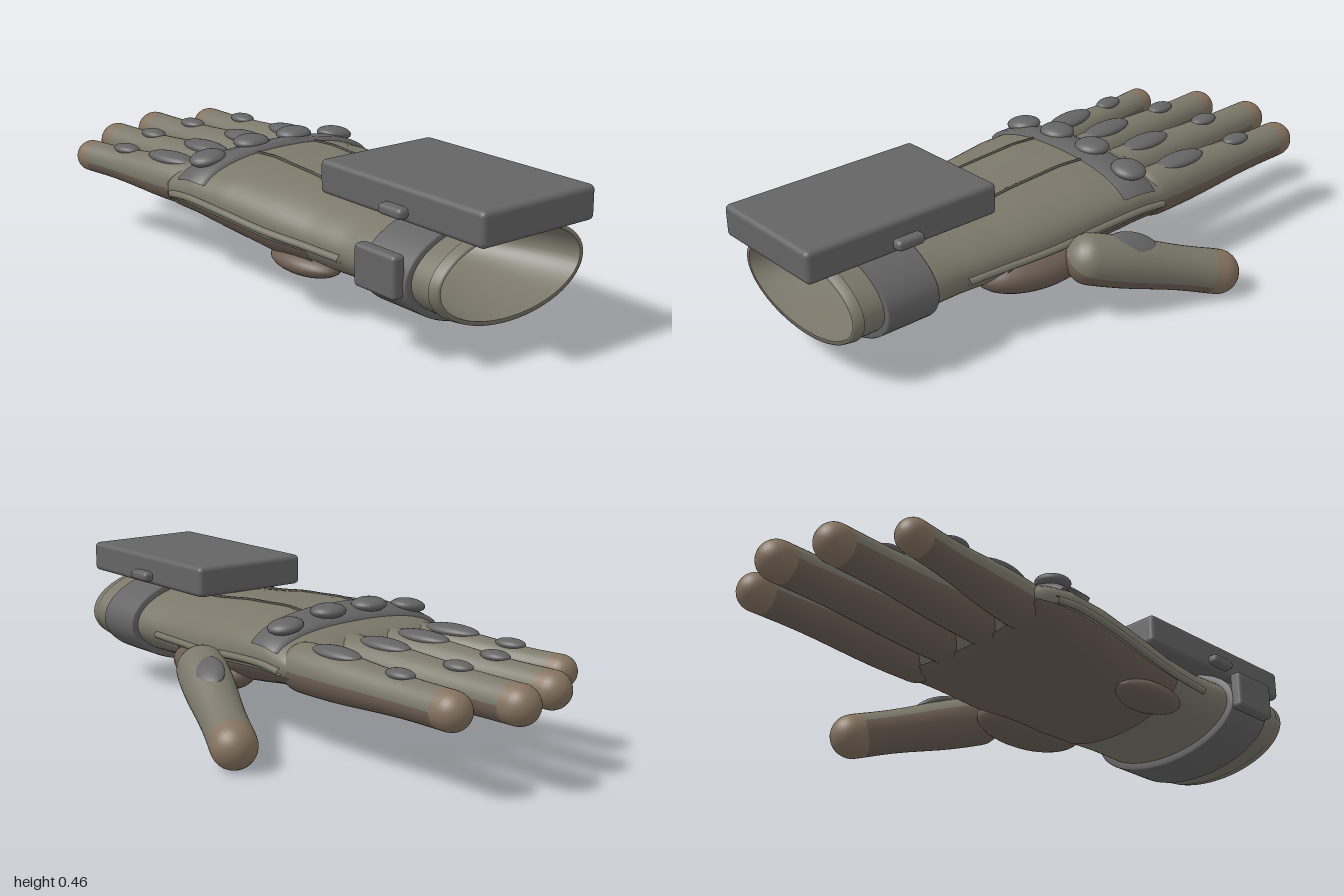
import * as THREE from 'three';
import { RoundedBoxGeometry } from 'three/addons/geometries/RoundedBoxGeometry.js';

const mat = (color) => new THREE.MeshStandardMaterial({ color, side: THREE.DoubleSide });
const V = (x, y, z) => new THREE.Vector3(x, y, z);

// Hand cross-sections: z, centre x, centre y, half width, half height, roundness exponent
const SECTIONS = [
  [0.9, -0.117, 0.234, 0.273, 0.134, 2],
  [0.7, -0.117, 0.232, 0.27, 0.13, 2],
  [0.5, -0.115, 0.232, 0.267, 0.122, 2],
  [0.35, -0.115, 0.236, 0.28, 0.128, 2],
  [0.2, -0.117, 0.243, 0.3, 0.136, 2.1],
  [0, -0.12, 0.262, 0.32, 0.126, 2.2],
  [-0.15, -0.12, 0.27, 0.33, 0.108, 2.3],
  [-0.24, -0.12, 0.262, 0.33, 0.088, 2.4],
  [-0.29, -0.12, 0.258, 0.318, 0.072, 2.4],
  [-0.325, -0.12, 0.258, 0.28, 0.03, 2.2],
];

function sectionAt(z) {
  let i = 0;
  while (i < SECTIONS.length - 2 && z < SECTIONS[i + 1][0]) i++;
  const a = SECTIONS[i], b = SECTIONS[i + 1];
  const t = (z - a[0]) / (b[0] - a[0]);
  return a.map((v, k) => v + (b[k] - v) * t);
}

// Point on a section at an angle, pushed out by grow
function rim([z, cx, cy, rx, ry, n = 2], a, grow = 0) {
  const c = Math.cos(a), s = Math.sin(a);
  return V(cx + (rx + grow) * Math.sign(c) * Math.abs(c) ** (2 / n),
    cy + (ry + grow) * Math.sign(s) * Math.abs(s) ** (2 / n), z);
}

// Skin over sections running towards -z, over the whole ring or an arc of it
function loft(sections, a0 = 0, a1 = Math.PI * 2, grow = 0, seg = 64) {
  const closed = a1 - a0 > 6.28, cols = closed ? seg : seg + 1;
  const pos = [], idx = [];
  sections.forEach((s) => {
    for (let j = 0; j < cols; j++) pos.push(...rim(s, a0 + (a1 - a0) * j / seg, grow).toArray());
  });
  for (let i = 0; i < sections.length - 1; i++) {
    for (let j = 0; j < seg; j++) {
      const k = (j + 1) % cols, p = i * cols, q = p + cols;
      idx.push(p + j, q + j, p + k, p + k, q + j, q + k);
    }
  }
  const g = new THREE.BufferGeometry();
  g.setAttribute('position', new THREE.Float32BufferAttribute(pos, 3));
  g.setIndex(idx);
  g.computeVertexNormals();
  return g;
}

const range = (z0, z1, n) => Array.from({ length: n + 1 }, (_, i) => sectionAt(z0 + (z1 - z0) * i / n));

export function createModel() {
  const root = new THREE.Group();
  const fabric = mat(0x7b786a), palmMat = mat(0x6d5f54), tipMat = mat(0x84725f);
  const hard = mat(0x646464), seamMat = mat(0x55534a), shade = mat(0x55534c);

  function add(name, geo, material, parent = root) {
    const m = new THREE.Mesh(geo, material);
    m.name = name;
    parent.add(m);
    return m;
  }
  function pad(name, p, r, parent = root) {
    const m = add(name, new THREE.SphereGeometry(1, 24, 14), hard, parent);
    m.position.copy(p);
    m.scale.set(...r);
    return m;
  }
  function box(name, p, s, r, parent = root) {
    const m = add(name, new RoundedBoxGeometry(...s, 3, r), hard, parent);
    m.position.set(...p);
    return m;
  }

  // Hand body and open cuff
  add('handBody', loft(range(0.9, -0.325, 49)), fabric);
  const [, cx, cy, rx, ry] = SECTIONS[0];
  const ring = (z, x, y) => [z, cx, cy, x, y];
  add('cuffRim', loft([ring(0.87, rx + 0.004, ry + 0.004), ring(0.9, rx, ry), ring(0.9, rx - 0.012, ry - 0.012)]), fabric);
  const inner = [[0.9, 0.261, 0.122], [0.78, 0.235, 0.113], [0.6, 0.153, 0.075], [0.56, 0.083, 0.04], [0.555, 0.001, 0.001]]
    .map((s) => ring(...s));
  add('cuffLining', loft(inner.slice(0, 3)), fabric);
  add('liningStep', loft(inner.slice(2, 4)), shade);
  add('liningEnd', loft(inner.slice(3)), fabric);

  // Palm panel and heel pads
  add('palmPanel', loft(range(0.36, -0.3, 24), Math.PI * 1.06, Math.PI * 1.94, 0.006), palmMat);
  const thumbHeel = add('thumbHeel', new THREE.SphereGeometry(1, 24, 16), palmMat);
  thumbHeel.position.set(0.12, 0.17, 0.22);
  thumbHeel.scale.set(0.105, 0.07, 0.2);
  thumbHeel.rotation.y = -0.12;
  const outerHeel = add('outerHeel', new THREE.SphereGeometry(1, 24, 16), palmMat);
  outerHeel.position.set(-0.33, 0.15, 0.28);
  outerHeel.scale.set(0.075, 0.038, 0.14);

  // Tapered finger with a gripping underside and a round tip
  function finger(name, base, tip, r0, r1) {
    const g = new THREE.Group();
    g.name = name;
    const dir = tip.clone().sub(base), L = dir.length() - r1;
    g.position.copy(base);
    g.quaternion.setFromUnitVectors(V(0, 1, 0), dir.normalize());
    const shaft = [];
    for (let i = 0; i <= 6; i++) {
      const a = i / 6 * Math.PI / 2;
      shaft.push(new THREE.Vector2(r0 * Math.sin(a), -r0 * 0.9 * Math.cos(a)));
    }
    for (let i = 1; i <= 8; i++) {
      const t = i / 8;
      shaft.push(new THREE.Vector2(r0 + (r1 - r0) * t + 0.003 * Math.sin(t * Math.PI * 2), (L - 0.03) * t));
    }
    const cap = [new THREE.Vector2(r1, L - 0.03)];
    for (let i = 0; i <= 8; i++) {
      const a = i / 8 * Math.PI / 2;
      cap.push(new THREE.Vector2(r1 * Math.cos(a), L + r1 * Math.sin(a)));
    }
    add(name + 'Back', new THREE.LatheGeometry(shaft, 16, -Math.PI / 2, Math.PI), fabric, g);
    add(name + 'Grip', new THREE.LatheGeometry(shaft, 16, Math.PI / 2, Math.PI), palmMat, g);
    add(name + 'Tip', new THREE.LatheGeometry(cap, 32), tipMat, g);
    root.add(g);
    return g;
  }

  // Four fingers: base x, tip x, tip z, radii, long pad z, short pad z
  const fingers = [
    ['indexFinger', 0.128, 0.123, -0.93, 0.077, 0.058, -0.4, -0.67],
    ['middleFinger', -0.04, -0.067, -1, 0.08, 0.06, -0.415, -0.71],
    ['ringFinger', -0.203, -0.254, -0.945, 0.077, 0.058, -0.4, -0.68],
    ['littleFinger', -0.345, -0.433, -0.81, 0.072, 0.051, -0.37, -0.585],
  ];
  fingers.forEach(([name, x0, x1, z1, r0, r1, za, zb]) => {
    const base = V(x0, 0.258, -0.26), tip = V(x1, 0.26, z1);
    finger(name, base, tip, r0, r1);
    [[za, 0.043, 0.02, 0.1], [zb, 0.033, 0.016, 0.051]].forEach(([z, a, b, c]) => {
      const t = (z - base.z) / (z1 - base.z);
      const p = base.clone().lerp(tip, t);
      p.y += r0 + (r1 - r0) * t - 0.004;
      pad(name + 'Pad', p, [a, b, c]).rotation.y = Math.atan2(x0 - x1, base.z - z1);
    });
  });

  // Thumb
  const thumbBase = V(0.245, 0.195, 0.11), thumbTip = V(0.436, 0.055, -0.345);
  finger('thumb', thumbBase, thumbTip, 0.08, 0.071);
  const thumbPad = pad('thumbPad', V(0.308, 0.222, -0.015), [0.05, 0.022, 0.085]);
  const along = thumbTip.clone().sub(thumbBase).normalize();
  const side = along.clone().cross(V(0.45, 0.9, 0)).normalize();
  thumbPad.quaternion.setFromRotationMatrix(new THREE.Matrix4().makeBasis(side, along.clone().cross(side).negate(), along.clone().negate()));
  if (thumbPad.matrix.determinant() < 0) thumbPad.scale.x *= -1;

  // Knuckle band and its studs
  const b0 = 0.1 * Math.PI, b1 = 0.9 * Math.PI;
  const grown = (z, e) => { const s = sectionAt(z); s[3] += e; s[4] += e; return s; };
  add('knuckleBand', loft([grown(-0.085, -0.004), grown(-0.092, 0.014), grown(-0.15, 0.014), grown(-0.205, 0.014), grown(-0.212, -0.004)], b0, b1), hard);
  [-0.365, -0.2, -0.035, 0.13].forEach((x) => {
    const outer = Math.abs(x + 0.1175) > 0.2;
    const m = pad('knuckleStud', V(x, outer ? 0.367 : 0.392, -0.165), [0.058, 0.023, 0.053]);
    m.rotation.z = outer ? -Math.sign(x + 0.1175) * 0.15 : 0;
  });

  // Seams on the back and along both sides
  const seam = (name, points, r, material) =>
    add(name, new THREE.TubeGeometry(new THREE.CatmullRomCurve3(points), 30, r, 6), material);
  const surfaceY = (x, z) => {
    const [, mx, my, w, h, n] = sectionAt(z);
    return my + h * (1 - Math.abs((x - mx) / w) ** n) ** (1 / n);
  };
  [-0.23, -0.008].forEach((x) => seam('backSeam',
    [0.42, 0.3, 0.2, 0.1, 0, -0.09].map((z) => V(x, surfaceY(x, z), z)), 0.005, seamMat));
  [0, Math.PI].forEach((a) => {
    const s = seam('sideSeam', [0.5, 0.35, 0.2, 0, -0.15, -0.24].map((z) => rim(sectionAt(z), a, 0.002)), 0.012, fabric);
    s.position.y = -0.01;
  });

  // Wrist strap with buckle
  const strap = [[0.8, 0.265, 0.125], [0.8, 0.288, 0.145], [0.795, 0.292, 0.149], [0.625, 0.292, 0.149], [0.62, 0.288, 0.145], [0.62, 0.262, 0.122]];
  add('wristStrap', loft(strap.map(([z, x, y]) => [z, -0.117, 0.231, x, y])), hard);
  box('buckle', [-0.418, 0.255, 0.705], [0.042, 0.122, 0.165], 0.012);

  // Wrist unit and its side lugs
  box('wristUnit', [-0.117, 0.414, 0.665], [0.415, 0.1, 0.66], 0.016);
  [-1, 1].forEach((s) => box('sideLug', [-0.117 + s * 0.215, 0.393, 0.665], [0.045, 0.033, 0.095], 0.014));

  return root;
}
